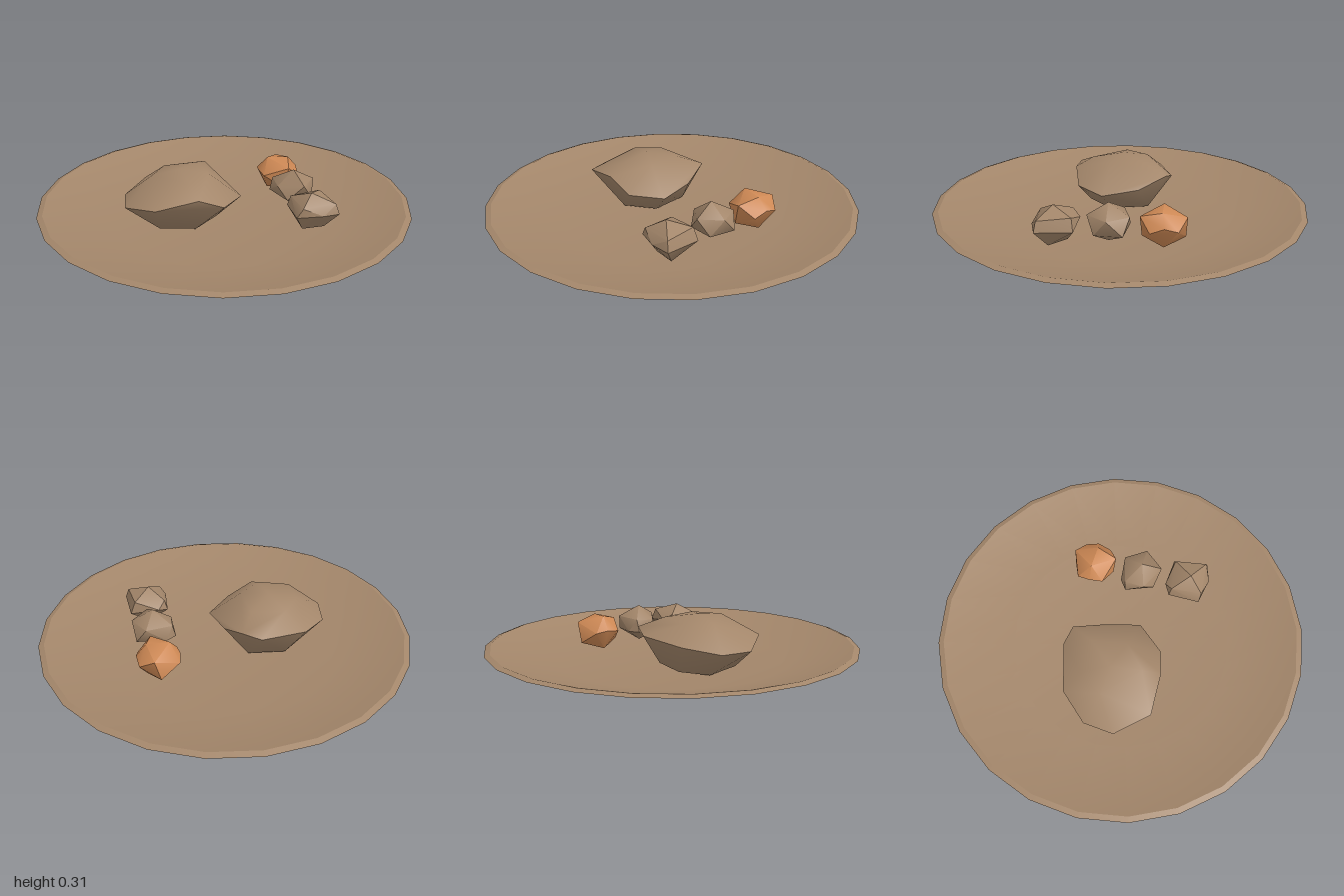
import * as THREE from 'three';
import { toCreasedNormals } from 'three/addons/utils/BufferGeometryUtils.js';
import { ConvexGeometry } from 'three/addons/geometries/ConvexGeometry.js';

const material = (name, color) => {
  const m = new THREE.MeshStandardMaterial({ color });
  m.name = name;
  return m;
};

export function createModel() {
  const tan = material('tan', 0xa3866a);
  const orange = material('orange', 0xcd8854);
  const group = new THREE.Group();

  const add = (name, geometry, mat) => {
    const mesh = new THREE.Mesh(geometry, mat);
    mesh.name = name;
    group.add(mesh);
  };
  const dish = (name, profile) =>
    add(name, new THREE.LatheGeometry(profile.map(p => new THREE.Vector2(...p)), 24), tan);

  // Rough lump spanned by corner points given relative to a centre
  const lump = (name, centre, corners, crease, mat) => {
    const hull = new ConvexGeometry(corners.map(p => new THREE.Vector3(...p)));
    hull.translate(...centre);
    hull.deleteAttribute('normal');
    hull.computeVertexNormals();
    add(name, toCreasedNormals(hull, crease), mat);
  };

  // Shallow plate: underside and hollow upper face
  dish('plateUnderside', [[0, 0.01], [0.6, 0.01], [1, 0.12]]);
  dish('plateRim', [[1, 0.12], [0.97, 0.13]]);
  dish('plateTop', [[0.97, 0.13], [0.6, 0.03], [0, 0.03]]);

  // Large lump
  lump('largeLump', [-0.24, 0.155, 0], [
    [0, 0.16, 0],
    [-0.15, 0.13, -0.02], [0.02, 0.138, 0.165], [0.14, 0.142, 0.06], [0.12, 0.138, -0.13], [-0.06, 0.132, -0.14],
    [-0.29, 0.01, -0.08], [-0.155, 0.04, -0.22], [0.096, 0.06, -0.28], [0.19, 0.09, -0.25], [0.26, 0.03, -0.1],
    [0.31, 0.01, 0.095], [0.18, 0.02, 0.235], [0.04, 0.085, 0.262], [-0.18, 0.05, 0.255], [-0.312, 0.01, 0.085],
    [-0.17, -0.12, -0.06], [-0.06, -0.11, -0.17], [0.14, -0.11, -0.15], [0.18, -0.11, 0.06],
    [0.04, -0.11, 0.18], [-0.14, -0.11, 0.13], [0, -0.152, 0],
  ], 1.1, tan);

  // Row of three small lumps
  lump('smallLumpBack', [0.385, 0.14, -0.24], [
    [-0.06, 0.095, 0], [0.06, 0.09, 0.01], [0.03, 0.06, -0.115], [0.03, 0.06, 0.12],
    [-0.102, 0.01, -0.07], [-0.102, 0.01, 0.07], [0.105, 0.01, -0.07], [0.105, 0, 0.07], [0.115, 0.03, 0],
    [-0.112, 0.02, 0], [-0.06, -0.09, 0], [0.06, -0.09, 0], [0, -0.055, -0.11], [0, -0.055, 0.11],
  ], 0.8, orange);

  lump('smallLumpMiddle', [0.385, 0.155, 0.035], [
    [0, 0.105, 0],
    [-0.095, 0.04, -0.075], [0.048, 0.045, -0.107], [0.115, 0.045, 0.005], [0.025, 0.045, 0.107], [-0.1, 0.03, 0.03],
    [-0.058, -0.03, -0.107], [0.1, -0.04, -0.075], [0.085, -0.04, 0.07], [-0.058, -0.04, 0.08], [-0.112, -0.03, -0.07],
    [0, -0.1, 0],
  ], 0.8, tan);

  lump('smallLumpFront', [0.395, 0.14, 0.3], [
    [-0.01, 0.1, 0.01], [0.075, 0.065, -0.09], [0.1, 0.055, 0.08], [-0.09, 0.055, -0.08], [-0.08, 0.05, 0.085],
    [-0.053, 0.02, -0.12], [0.102, 0, -0.1], [0.118, 0, 0.09], [0.022, 0.01, 0.114], [-0.112, 0, 0.08],
    [-0.105, 0, -0.09], [0.06, -0.09, 0.03], [-0.06, -0.09, 0.03], [0, -0.08, -0.06],
  ], 0.6, tan);

  return group;
}
